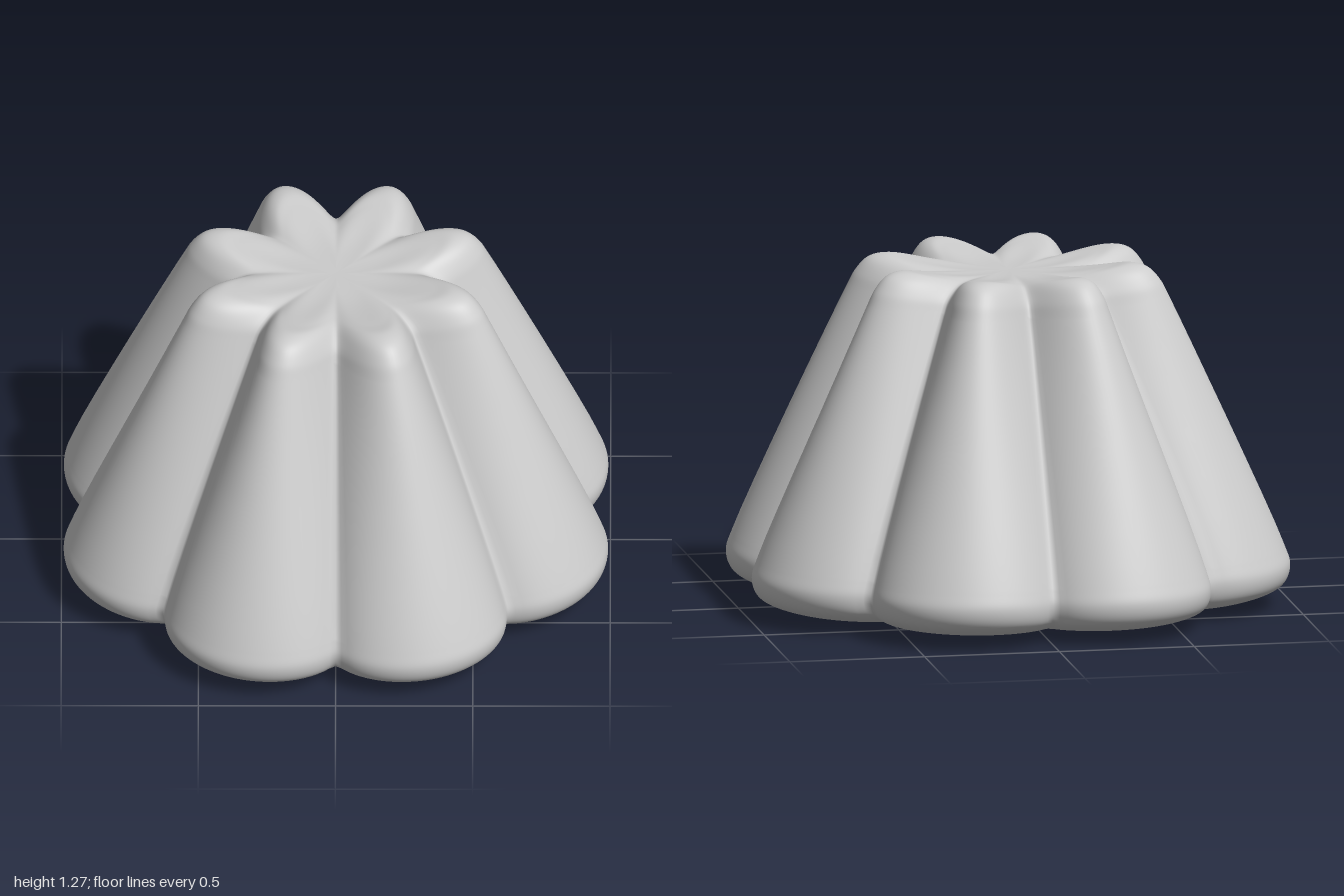
import * as THREE from 'three';
import { mergeVertices } from 'three/addons/utils/BufferGeometryUtils.js';

const LOBES = 8, AROUND = 256, STEPS = 104;

// Smooth curve through [radius, height] pairs, from the bottom centre to the top centre
const profile = (pairs) =>
  new THREE.CatmullRomCurve3(pairs.map(([r, y]) => new THREE.Vector3(r, y, 0)));

// Section through the crest of a lobe
const crest = profile([
  [0, 0], [0.5, 0.01], [0.8, 0.03], [0.94, 0.05], [1.02, 0.09], [1.042, 0.15], [1.018, 0.23],
  [0.6, 1.14], [0.565, 1.205], [0.52, 1.25], [0.46, 1.265], [0.38, 1.253], [0.2, 1.225], [0, 1.22],
]);
// Section through a groove, point for point with the crest
const groove = profile([
  [0, 0], [0.45, 0.01], [0.7, 0.03], [0.81, 0.05], [0.87, 0.085], [0.89, 0.14], [0.87, 0.21],
  [0.42, 1.12], [0.39, 1.17], [0.35, 1.2], [0.31, 1.217], [0.25, 1.223], [0.12, 1.222], [0, 1.22],
]);

// 0 in a groove, 1 on a crest: broad lobes at the foot, narrow fingers at the top
function bulge(angle, height) {
  const s = Math.sin(angle * LOBES / 2) ** 2;
  const q = 0.27 + 0.45 * (height / 1.25) ** 2;
  const e = 0.006;
  return ((s + e) ** q - e ** q) / ((1 + e) ** q - e ** q);
}

export function createModel() {
  const group = new THREE.Group();
  group.name = 'flutedMould';

  // Fluted body: a lathe grid whose rings are pushed between the two sections
  const rows = Array.from({ length: STEPS + 1 }, (_, j) => new THREE.Vector2(1, j));
  let geometry = new THREE.LatheGeometry(rows, AROUND);
  const pos = geometry.attributes.position;
  for (let i = 0; i < pos.count; i++) {
    const t = pos.getY(i) / STEPS;
    const angle = Math.atan2(pos.getX(i), pos.getZ(i));
    const c = crest.getPoint(t), g = groove.getPoint(t);
    const p = g.clone().lerp(c, bulge(angle, c.y));
    pos.setXYZ(i, p.x * Math.sin(angle), Math.max(0, p.y), p.x * Math.cos(angle));
  }

  // Weld the seam and poles so the shading is continuous
  geometry.deleteAttribute('uv');
  geometry.deleteAttribute('normal');
  geometry = mergeVertices(geometry, 1e-5);
  geometry.computeVertexNormals();

  const body = new THREE.Mesh(geometry, new THREE.MeshStandardMaterial({ color: 0xcccccc }));
  body.name = 'flutedBody';
  group.add(body);
  return group;
}
